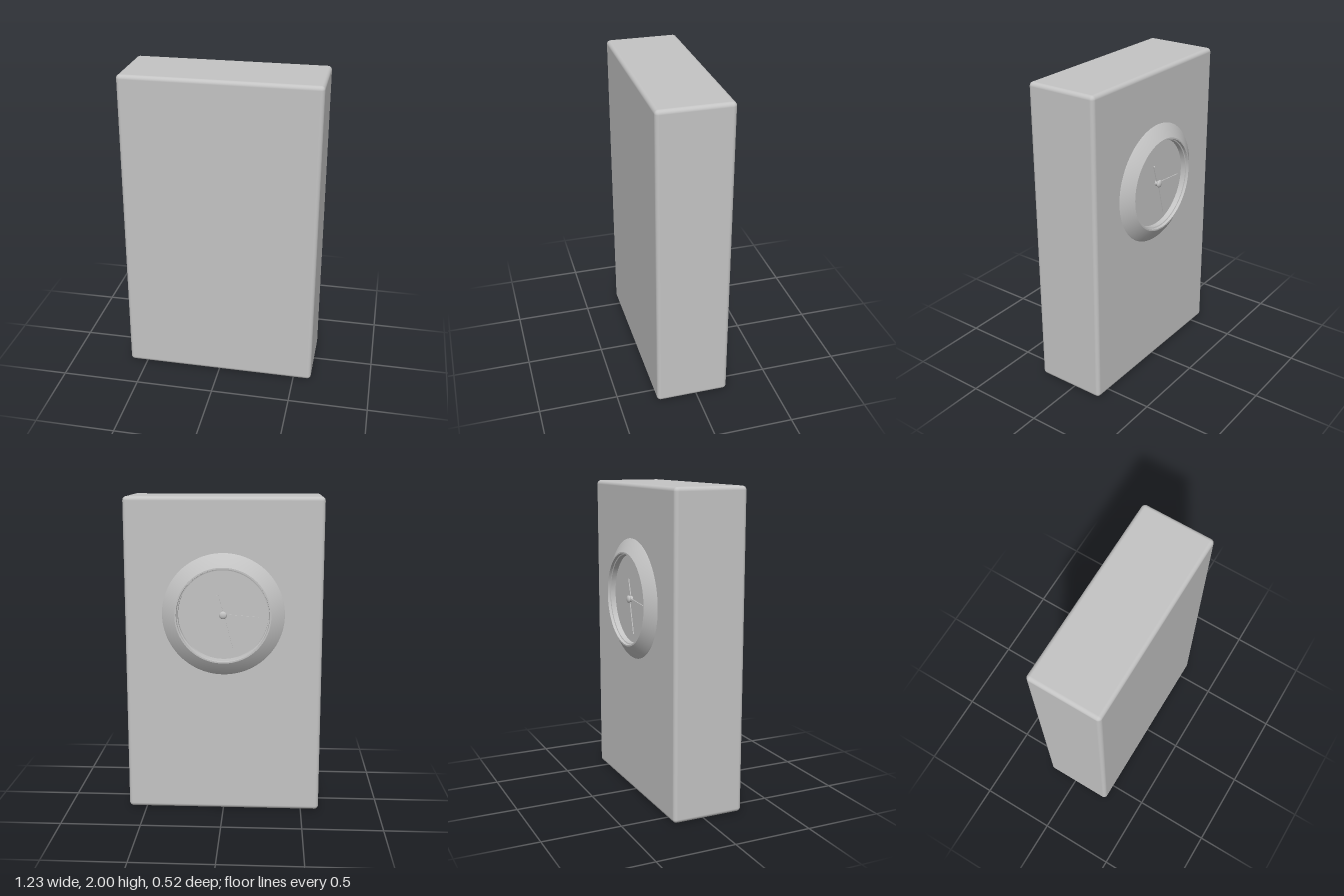
import * as THREE from 'three';
import { toCreasedNormals } from 'three/addons/utils/BufferGeometryUtils.js';
import { RoundedBoxGeometry } from 'three/addons/geometries/RoundedBoxGeometry.js';

export function createModel() {
  const model = new THREE.Group();
  const grey = new THREE.MeshStandardMaterial({ color: 0xc4c4c4 });
  grey.name = 'grey';

  const add = (parent, name, geometry) => {
    const mesh = new THREE.Mesh(geometry, grey);
    mesh.name = name;
    parent.add(mesh);
    return mesh;
  };

  // Upright case with softly rounded edges
  add(model, 'case', new RoundedBoxGeometry(1.23, 2, 0.464, 4, 0.025)).position.set(0, 1, 0.027);

  // Clock on the back; local y points out of the back face
  const clock = new THREE.Group();
  clock.name = 'clock';
  clock.position.set(0, 1.28, -0.205);
  clock.rotation.x = -Math.PI / 2;
  model.add(clock);

  // Sloping bezel with a narrow rim and a stepped inner wall
  const profile = [
    [0.385, -0.004], [0.374, 0.007], [0.298, 0.055], [0.289, 0.055],
    [0.287, 0.038], [0.28, 0.036], [0.28, 0],
  ].map(([r, h]) => new THREE.Vector2(r, h));
  add(clock, 'bezel', toCreasedNormals(new THREE.LatheGeometry(profile, 96), 0.4));

  // Dial set at the bottom of the bezel
  add(clock, 'dial', new THREE.CylinderGeometry(0.282, 0.282, 0.006, 96)).position.y = 0;

  // Thin hands, given by their tips as x and height from the pivot
  const hands = [
    ['hourHand', 0.038, 0.124, 0.012],
    ['minuteHand', -0.22, -0.017, 0.017],
    ['secondHand', -0.057, -0.215, 0.022],
  ];
  for (const [name, x, up, height] of hands) {
    const hand = add(clock, name, new THREE.BoxGeometry(Math.hypot(x, up), 0.006, 0.013));
    hand.position.set(x / 2, height, -0 + up / 2);
    hand.rotation.y = -Math.atan2(up, x);
    // local z runs along world y after the tilt
  }

  // Pivot pin with a domed cap
  add(clock, 'pivotPin', new THREE.CylinderGeometry(0.018, 0.018, 0.03, 24)).position.y = 0.015;
  const cap = add(clock, 'pivotCap', new THREE.SphereGeometry(0.024, 24, 12));
  cap.position.y = 0.026;
  cap.scale.y = 0.5;

  return model;
}
